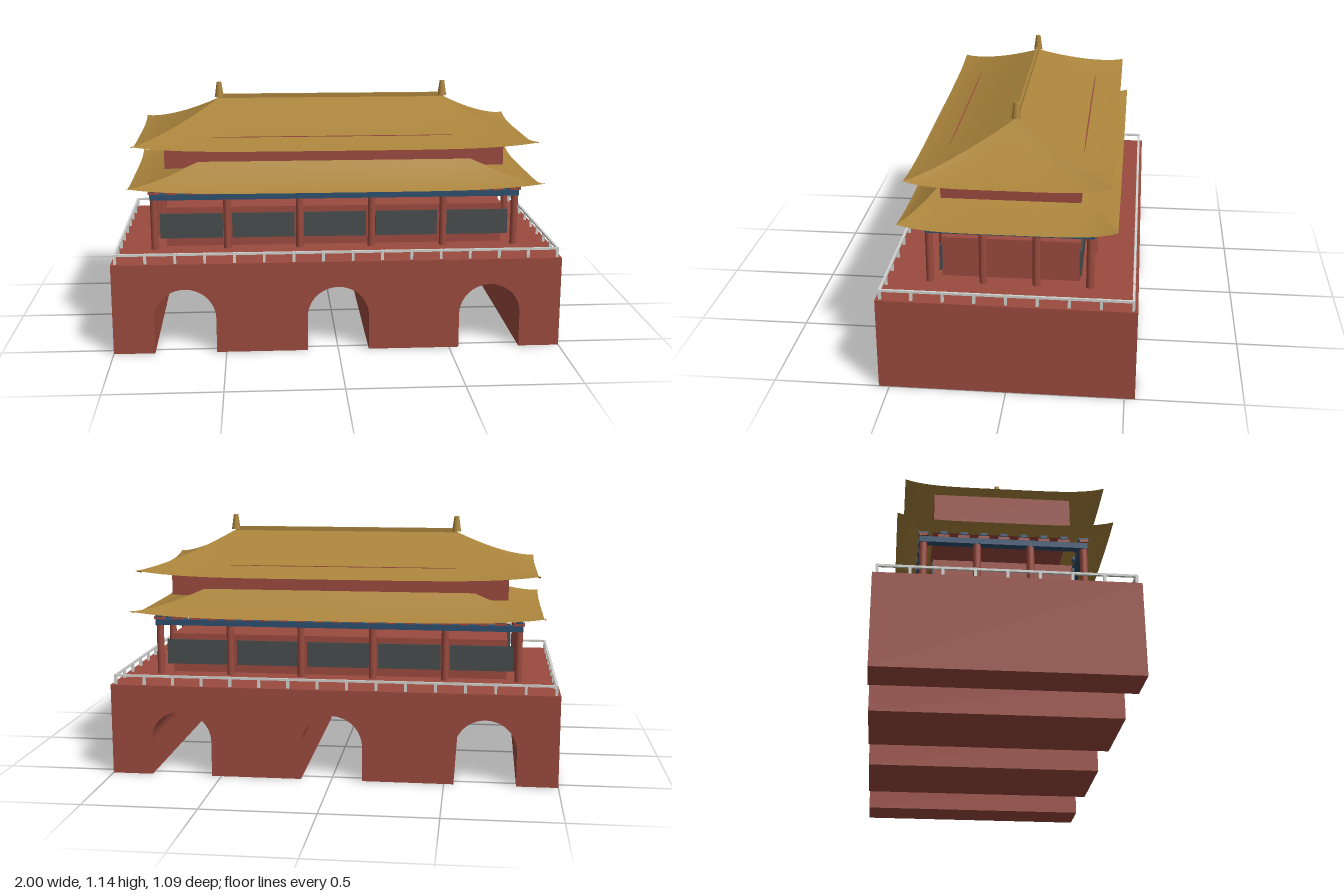
import * as THREE from 'three';

const paint = (name, color, side = THREE.FrontSide) => {
  const m = new THREE.MeshStandardMaterial({ color, side });
  m.name = name;
  return m;
};

export function createModel() {
  const red = paint('wall red', 0x9a4a3e);
  const gold = paint('roof gold', 0xaa843c, THREE.DoubleSide);
  const blue = paint('beam blue', 0x2c4f6e);
  const dark = paint('window grey', 0x484c4c);
  const stone = paint('railing stone', 0xd2d4d0);

  const model = new THREE.Group();
  model.name = 'gateTower';
  const group = (name) => {
    const g = new THREE.Group();
    g.name = name;
    model.add(g);
    return g;
  };
  const add = (parent, name, geometry, material, x = 0, y = 0, z = 0) => {
    const m = new THREE.Mesh(geometry, material);
    m.name = name;
    m.position.set(x, y, z);
    parent.add(m);
    return m;
  };
  const box = (parent, name, material, w, h, d, x, y, z) =>
    add(parent, name, new THREE.BoxGeometry(w, h, d), material, x, y, z);

  // Points spaced around a rectangle, each corner once
  const perimeter = (hx, hz, nx, nz) => {
    const points = [];
    for (let i = 0; i <= nx; i++) for (const s of [-1, 1]) points.push([-hx + (2 * hx * i) / nx, s * hz, 0]);
    for (let i = 1; i < nz; i++) for (const s of [-1, 1]) points.push([s * hx, -hz + (2 * hz * i) / nz, 1]);
    return points;
  };
  // Four bars forming a rectangular ring
  const ring = (parent, name, material, hx, hz, y, h, t) => {
    for (const s of [-1, 1]) {
      box(parent, name, material, 2 * hx + t, h, t, 0, y, s * hz);
      box(parent, name, material, t, h, 2 * hz - t, s * hx, y, 0);
    }
  };

  // Base: one outline with three arched passages running through it
  const outline = new THREE.Shape();
  outline.moveTo(-1, 0);
  for (const c of [-0.68, 0, 0.68]) {
    outline.lineTo(c - 0.137, 0);
    outline.lineTo(c - 0.137, 0.157);
    outline.absarc(c, 0.157, 0.137, Math.PI, 0, true);
    outline.lineTo(c + 0.137, 0);
  }
  outline.lineTo(1, 0);
  outline.lineTo(1, 0.41);
  outline.lineTo(-1, 0.41);
  const baseGeometry = new THREE.ExtrudeGeometry(outline, { depth: 1.09, bevelEnabled: false, curveSegments: 16 });
  add(model, 'archedBase', baseGeometry, red, 0, 0, -0.545);

  // Railing around the terrace
  const railing = group('railing');
  const postGeometry = new THREE.BoxGeometry(0.012, 0.045, 0.012);
  for (const [x, z] of perimeter(0.981, 0.526, 15, 8)) add(railing, 'railingPost', postGeometry, stone, x, 0.4325, z);
  ring(railing, 'handrail', stone, 0.981, 0.526, 0.45, 0.01, 0.01);

  // Lower hall with five windows front and back
  const hall = group('lowerHall');
  box(hall, 'hallWall', red, 1.54, 0.18, 0.592, 0, 0.515, 0);
  for (let i = -2; i <= 2; i++) {
    for (const s of [-1, 1]) box(hall, 'window', dark, 0.285, 0.115, 0.009, i * 0.328, 0.52, s * 0.298);
  }

  // Colonnade
  const colonnade = group('colonnade');
  const columnGeometry = new THREE.CylinderGeometry(0.0165, 0.0165, 0.23, 16);
  for (const [x, z] of perimeter(0.82, 0.34, 5, 3)) add(colonnade, 'column', columnGeometry, red, x, 0.54, z);

  // Beam ring and stacked brackets
  const beams = group('beamsAndBrackets');
  ring(beams, 'beam', blue, 0.82, 0.34, 0.667, 0.026, 0.034);
  const lowerBlock = new THREE.BoxGeometry(0.048, 0.013, 0.034);
  const upperBlock = new THREE.BoxGeometry(0.03, 0.013, 0.042);
  for (const [x, z, turned] of perimeter(0.82, 0.34, 20, 8)) {
    add(beams, 'bracketBlock', lowerBlock, red, x, 0.6865, z).rotation.y = (turned * Math.PI) / 2;
    add(beams, 'bracketCap', upperBlock, blue, x, 0.6985, z).rotation.y = (turned * Math.PI) / 2;
  }

  // Upper wall between the roofs
  box(model, 'upperWall', red, 1.54, 0.142, 0.59, 0, 0.857, 0);

  // Concave hipped roof with lifted corners: four sheets from eave to top
  const roof = (name, eave, top, y0, y1, lift) => {
    const g = group(name);
    for (const end of [false, true]) {
      for (const sign of [1, -1]) {
        const geometry = new THREE.PlaneGeometry(2, 1, 32, 14);
        const p = geometry.attributes.position;
        for (let i = 0; i < p.count; i++) {
          const s = p.getX(i);
          const t = p.getY(i) + 0.5;
          const hx = THREE.MathUtils.lerp(eave[0], top[0], t);
          const hz = THREE.MathUtils.lerp(eave[1], top[1], t);
          const y = y0 + (y1 - y0) * Math.pow(t, 1.25) + lift * (1 - t) ** 2 * Math.abs(s) ** 5;
          if (end) p.setXYZ(i, sign * hx, y, -sign * s * hz);
          else p.setXYZ(i, sign * s * hx, y, sign * hz);
        }
        geometry.computeVertexNormals();
        add(g, end ? 'roofEnd' : 'roofSlope', geometry, gold);
      }
    }
    return g;
  };
  roof('lowerRoof', [0.932, 0.453], [0.6, 0.285], 0.702, 0.825, 0.028);
  const upper = roof('upperRoof', [0.905, 0.424], [0.527, 0], 0.885, 1.064, 0.027);

  // Ridge and its end finials
  box(upper, 'ridge', gold, 1.056, 0.022, 0.012, 0, 1.069, 0);
  const finialGeometry = new THREE.CylinderGeometry(0.011, 0.021, 0.07, 12);
  for (const s of [-1, 1]) add(upper, 'ridgeFinial', finialGeometry, gold, s * 0.527, 1.101, 0);

  return model;
}
